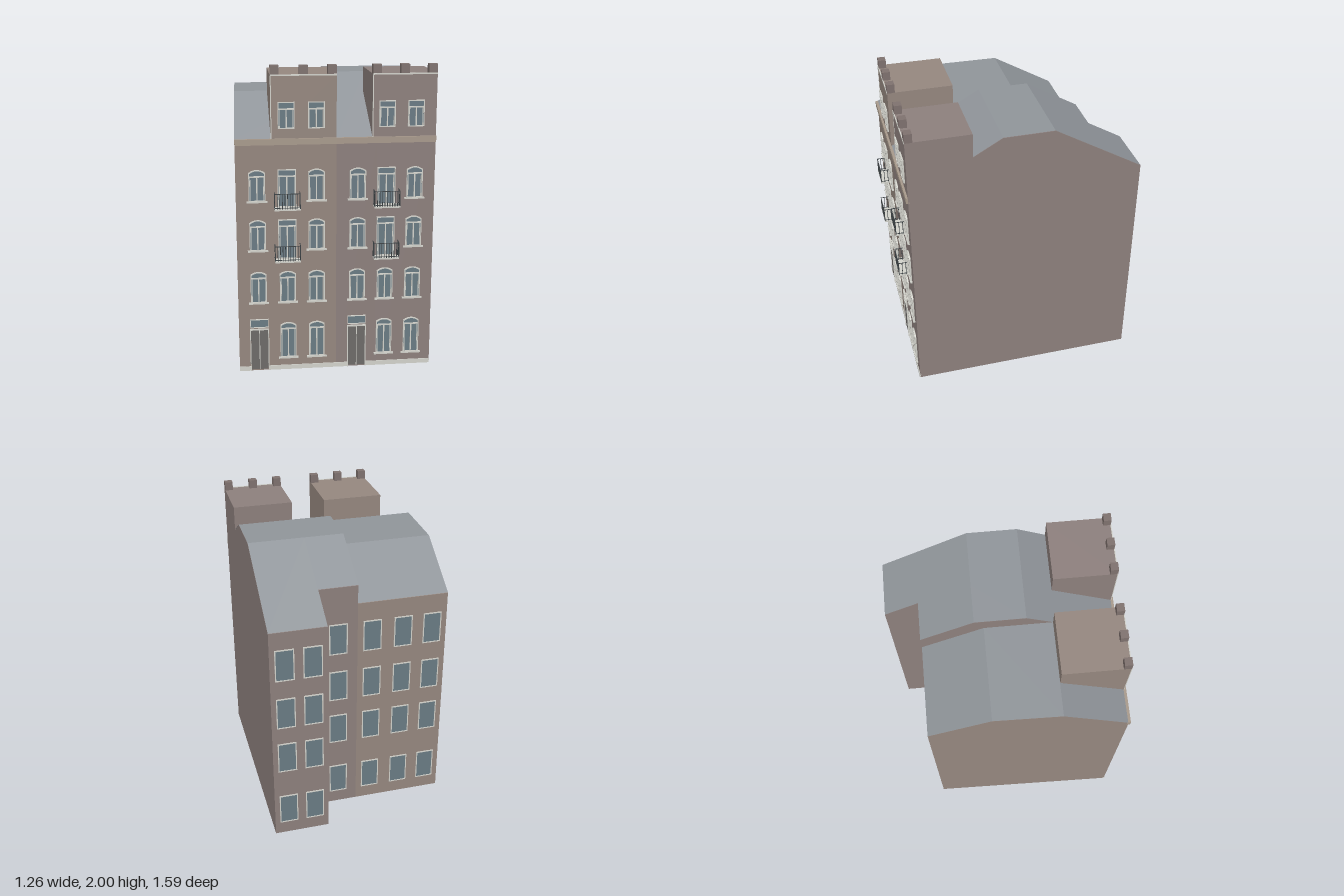
import * as THREE from 'three';

const mat = (color, extra = {}) => new THREE.MeshStandardMaterial({ color, flatShading: true, ...extra });
const M = {
  wallLeft: mat(0x95877f), wallRight: mat(0x8d807d), merlon: mat(0x7f726f),
  roof: mat(0x90959a, { side: THREE.DoubleSide }), trim: mat(0xd2d2cb), cornice: mat(0xa89a8c),
  glass: mat(0x6a7b84, { side: THREE.DoubleSide }), door: mat(0x6d6b69), iron: mat(0x3b4144),
};
const FRONT = 0.73;

function add(parent, name, geometry, material, x = 0, y = 0, z = 0) {
  const mesh = new THREE.Mesh(geometry, material);
  mesh.name = name;
  mesh.position.set(x, y, z);
  parent.add(mesh);
  return mesh;
}

// Box given by its minimum and maximum corners
function box(parent, name, material, x0, x1, y0, y1, z0, z1) {
  return add(parent, name, new THREE.BoxGeometry(x1 - x0, y1 - y0, z1 - z0), material,
    (x0 + x1) / 2, (y0 + y1) / 2, (z0 + z1) / 2);
}

// The outer side wall of the left-hand house leans inwards towards the back
function skew(geometry) {
  const p = geometry.attributes.position;
  for (let i = 0; i < p.count; i++) {
    if (p.getX(i) < -0.6) p.setX(i, p.getX(i) + 0.02 * (FRONT - p.getZ(i)));
  }
  geometry.computeVertexNormals();
  return geometry;
}

// House block: walls extruded sideways from a (z, y) roof line, with roof panels on top
function block(parent, name, material, x0, x1, line) {
  const outline = [[line[0][0], 0], ...line, [line[line.length - 1][0], 0]];
  const shape = new THREE.Shape(outline.map(([z, y]) => new THREE.Vector2(z, y)));
  const walls = new THREE.ExtrudeGeometry(shape, { depth: x1 - x0, bevelEnabled: false });
  walls.rotateY(-Math.PI / 2).translate(x1, 0, 0);
  add(parent, name + 'Walls', skew(walls), material);
  const pos = [], lift = 0.003;
  for (let i = 0; i + 1 < line.length; i++) {
    const [za, ya] = line[i], [zb, yb] = line[i + 1];
    const a = [x0, ya + lift, za], b = [x1, ya + lift, za], c = [x1, yb + lift, zb], d = [x0, yb + lift, zb];
    pos.push(...a, ...b, ...c, ...a, ...c, ...d);
  }
  const roof = new THREE.BufferGeometry();
  roof.setAttribute('position', new THREE.Float32BufferAttribute(pos, 3));
  add(parent, name + 'Roof', skew(roof), M.roof);
}

// Rectangle with an optional shallow arched head
function opening(w, h, rise, Type = THREE.Shape) {
  const s = new Type();
  s.moveTo(-w / 2, 0);
  s.lineTo(w / 2, 0);
  s.lineTo(w / 2, h - rise);
  if (rise) s.quadraticCurveTo(0, h + rise, -w / 2, h - rise);
  else s.lineTo(-w / 2, h);
  s.closePath();
  return s;
}

function frame(parent, w, h, rise, t, depth) {
  const shape = opening(w, h, rise);
  const hole = opening(w - 2 * t, h - 2 * t, rise, THREE.Path);
  shape.holes.push(new THREE.Path(hole.getPoints(8).map(p => new THREE.Vector2(p.x, p.y + t))));
  add(parent, 'frame', new THREE.ExtrudeGeometry(shape, { depth, bevelEnabled: false, curveSegments: 8 }), M.trim);
  add(parent, 'glass', new THREE.ShapeGeometry(opening(w - t, h - t, rise), 8), M.glass, 0, t / 2, 0.003);
}

function frontWindow(parent, x, y0, y1, w = 0.104, rise = 0.018, sill = true) {
  const g = new THREE.Group(), h = y1 - y0, ty = h - 0.048;
  g.name = 'frontWindow';
  g.position.set(x, y0, FRONT);
  frame(g, w, h, rise, 0.006, 0.01);
  box(g, 'transom', M.trim, -w / 2, w / 2, ty, ty + 0.009, 0, 0.009);
  box(g, 'mullion', M.trim, -0.004, 0.004, 0, ty, 0, 0.008);
  for (const s of [-1, 1]) box(g, 'sash', M.trim, s * w * 0.4 - 0.002, s * w * 0.4 + 0.002, 0, ty, 0, 0.006);
  if (sill) box(g, 'sill', M.trim, -0.065, 0.065, -0.008, 0.002, 0, 0.014);
  parent.add(g);
}

function backWindow(parent, x, y0, z) {
  const g = new THREE.Group();
  g.name = 'backWindow';
  g.position.set(x, y0, z);
  g.rotation.y = Math.PI;
  frame(g, 0.124, 0.22, 0, 0.007, 0.006);
  parent.add(g);
}

function frontDoor(parent, x) {
  const g = new THREE.Group();
  g.name = 'frontDoor';
  g.position.set(x, 0, FRONT);
  for (const s of [-1, 1]) {
    box(g, 'doorLeaf', M.door, s * 0.029 - 0.0265, s * 0.029 + 0.0265, 0.01, 0.285, 0, 0.006);
    box(g, 'doorJamb', M.trim, s * 0.059 - 0.003, s * 0.059 + 0.003, 0, 0.29, 0, 0.01);
  }
  box(g, 'doorGap', M.trim, -0.003, 0.003, 0.01, 0.285, 0, 0.005);
  box(g, 'doorHead', M.trim, -0.062, 0.062, 0.285, 0.293, 0, 0.01);
  const light = new THREE.Group();
  light.name = 'fanlight';
  light.position.y = 0.302;
  frame(light, 0.12, 0.058, 0, 0.004, 0.01);
  g.add(light);
  parent.add(g);
}

function balcony(parent, x, y) {
  const g = new THREE.Group(), w = 0.082, d = 0.064, t = 0.0018;
  g.name = 'balcony';
  g.position.set(x, y, FRONT);
  box(g, 'balconySlab', M.trim, -w, w, -0.01, 0, 0, d);
  const post = (px, pz) => box(g, 'baluster', M.iron, px - t, px + t, 0, 0.1, pz - t, pz + t);
  for (let i = 0; i <= 10; i++) post(-w + t + (i / 10) * 2 * (w - t), d - t);
  for (const s of [-1, 1]) {
    for (const pz of [0.015, 0.04]) post(s * (w - t), pz);
    for (const ry of [0.008, 0.098]) box(g, 'sideRail', M.iron, s * (w - t) - t, s * (w - t) + t, ry - t, ry + t, 0, d);
  }
  for (const ry of [0.008, 0.098]) box(g, 'frontRail', M.iron, -w, w, ry - t, ry + t, d - 2 * t, d);
  parent.add(g);
}

// Street front of one house: plinth, door, windows, balconies, cornice and parapeted dormer
function facade(parent, wall, x0, x1, cols, dx0, dx1, dormerBack) {
  const [doorX, midX, endX] = cols;
  box(parent, 'plinth', M.trim, x0, doorX - 0.062, 0, 0.03, FRONT - 0.01, FRONT + 0.005);
  box(parent, 'plinth', M.trim, doorX + 0.062, x1, 0, 0.03, FRONT - 0.01, FRONT + 0.005);
  box(parent, 'cornice', M.cornice, x0, x1, 1.512, 1.55, FRONT - 0.01, FRONT + 0.014);
  frontDoor(parent, doorX);
  for (const x of [midX, endX]) {
    frontWindow(parent, x, 0.088, 0.332);
    frontWindow(parent, x, 1.612, 1.778, 0.104, 0, false);
  }
  for (const x of cols) frontWindow(parent, x, 0.475, 0.685);
  for (const [y0, y1, floor] of [[0.828, 1.03, 0.77], [1.152, 1.355, 1.112]]) {
    for (const x of [doorX, endX]) frontWindow(parent, x, y0, y1);
    frontWindow(parent, midX, floor, y1, 0.116, 0, false);
    balcony(parent, midX, floor);
  }
  box(parent, 'dormer', wall, dx0, dx1, 1.545, 1.942, dormerBack, FRONT);
  box(parent, 'dormerTrim', M.trim, dx0, dx1, 1.937, 1.946, FRONT - 0.003, FRONT + 0.003);
  box(parent, 'dormerEdge', M.trim, dx0 - 0.001, dx0 + 0.005, 1.55, 1.94, FRONT - 0.003, FRONT + 0.002);
  const w = 0.054;
  for (const f of [0, 0.5, 1]) {
    const x = dx0 + f * (dx1 - dx0 - w);
    box(parent, 'merlon', M.merlon, x, x + w, 1.94, 2, FRONT - 0.05, FRONT);
  }
}

export function createModel() {
  const root = new THREE.Group();
  root.name = 'townHouses';
  const left = new THREE.Group(), right = new THREE.Group();
  left.name = 'lowerHouse';
  right.name = 'tallerHouse';
  root.add(left, right);

  // Main blocks; the taller house has a rear wing beside a shallower bay
  block(left, 'house', M.wallLeft, -0.635, 0, [[FRONT, 1.545], [0.3, 1.787], [-0.14, 1.787], [-0.553, 1.55]]);
  const line = [[FRONT, 1.545], [0.13, 1.887], [-0.2, 1.887]];
  block(right, 'rearBay', M.wallRight, 0, 0.26, [...line, [-0.553, 1.678]]);
  block(right, 'rearWing', M.wallRight, 0.26, 0.63, [...line, [-0.786, 1.54]]);

  facade(left, M.wallLeft, -0.635, 0, [-0.502, -0.314, -0.127], -0.41, 0, 0.302);
  facade(right, M.wallRight, 0.002, 0.63, [0.136, 0.318, 0.5], 0.226, 0.63, 0.318);

  // Rear windows on four floors
  for (const y of [0.09, 0.51, 0.85, 1.2]) {
    for (const x of [-0.51, -0.31, -0.1]) backWindow(left, x, y, -0.553);
    backWindow(right, 0.13, y, -0.553);
    for (const x of [0.355, 0.535]) backWindow(right, x, y, -0.786);
  }
  return root;
}
